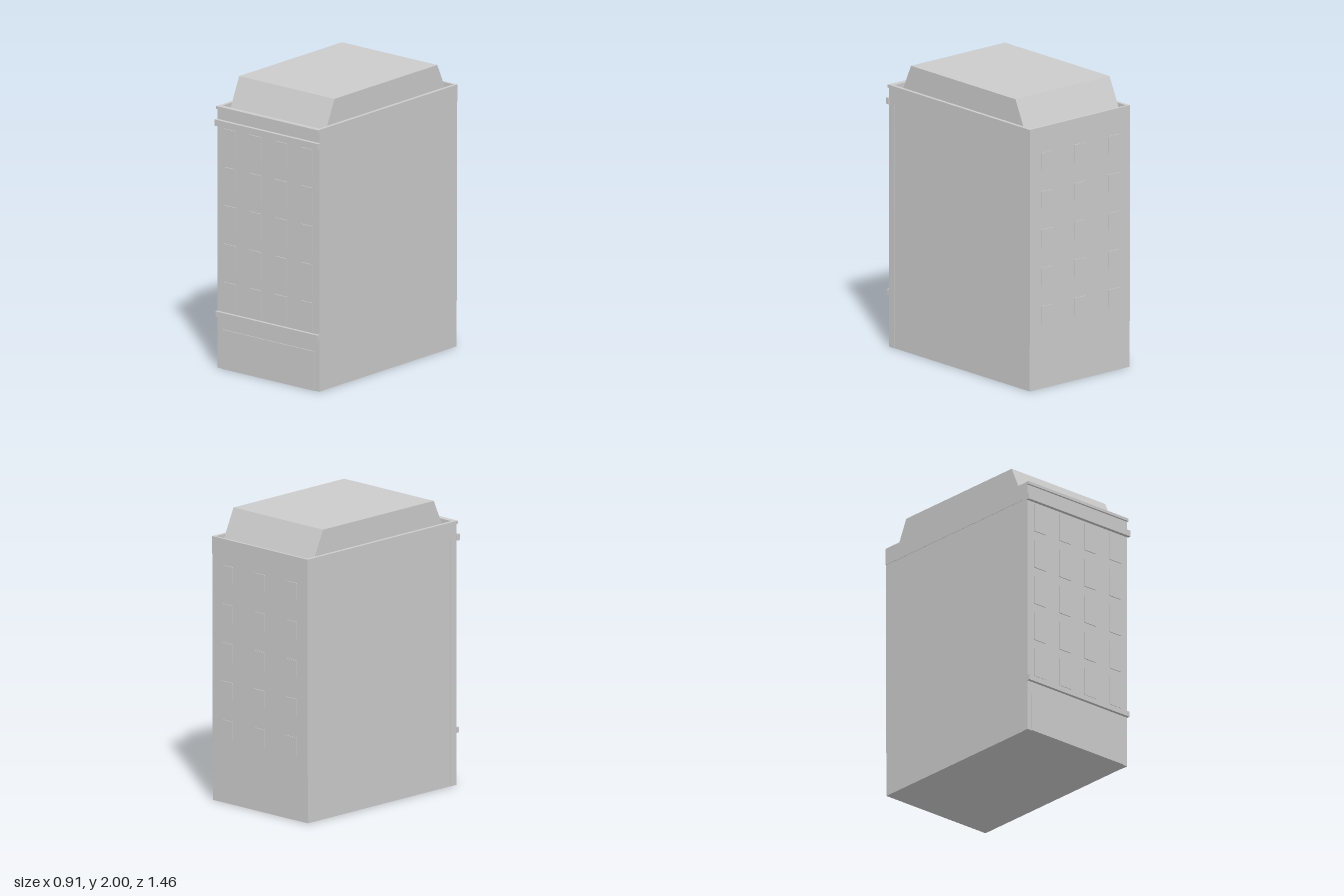
import * as THREE from 'three';

export function createModel() {
  const building = new THREE.Group();
  building.name = 'building';
  const concrete = new THREE.MeshStandardMaterial({ color: 0xcccccc });
  concrete.name = 'light grey';

  function add(name, geometry, parent = building) {
    const mesh = new THREE.Mesh(geometry, concrete);
    mesh.name = name;
    parent.add(mesh);
    return mesh;
  }

  // Box given by its limits on each axis
  function block(name, [x0, x1], [y0, y1], [z0, z1], parent) {
    const mesh = add(name, new THREE.BoxGeometry(x1 - x0, y1 - y0, z1 - z0), parent);
    mesh.position.set((x0 + x1) / 2, (y0 + y1) / 2, (z0 + z1) / 2);
    return mesh;
  }

  // Walls: slightly inset core, full-width facade slab, raised rear panel
  block('walls', [-0.445, 0.445], [0, 1.726], [-0.72, 0.66]);
  block('frontFacade', [-0.448, 0.448], [0, 1.726], [0.65, 0.705]);
  block('rearPanel', [-0.445, 0.445], [0.32, 1.71], [-0.725, -0.715]);
  block('entrancePanel', [-0.41, 0.41], [0, 0.275], [0.7, 0.711]);

  // Parapet: open ring around the flat roof
  const ring = new THREE.Shape([
    new THREE.Vector2(-0.448, -0.705), new THREE.Vector2(0.448, -0.705),
    new THREE.Vector2(0.448, 0.725), new THREE.Vector2(-0.448, 0.725),
  ]);
  ring.holes.push(new THREE.Path([
    new THREE.Vector2(-0.424, -0.679), new THREE.Vector2(-0.424, 0.708),
    new THREE.Vector2(0.424, 0.708), new THREE.Vector2(0.424, -0.679),
  ]));
  const ringGeometry = new THREE.ExtrudeGeometry(ring, { depth: 0.12, bevelEnabled: false });
  ringGeometry.rotateX(-Math.PI / 2);
  add('parapet', ringGeometry).position.y = 1.71;

  // Roof block with sloped front and rear ends
  const profile = new THREE.Shape([
    new THREE.Vector2(-0.636, 1.726), new THREE.Vector2(0.674, 1.726),
    new THREE.Vector2(0.548, 2), new THREE.Vector2(-0.515, 2),
  ]);
  const roofGeometry = new THREE.ExtrudeGeometry(profile, { depth: 0.84, bevelEnabled: false });
  roofGeometry.translate(0, 0, -0.42);
  roofGeometry.rotateY(Math.PI / 2);
  add('roofBlock', roofGeometry);

  // Front mouldings
  block('parapetLip', [-0.45, 0.45], [1.81, 1.83], [0.7, 0.718]);
  block('upperMoulding', [-0.455, 0.455], [1.695, 1.738], [0.702, 0.73]);
  block('lowerMoulding', [-0.45, 0.45], [0.36, 0.398], [0.7, 0.727]);

  // Raised window panes, five storeys on each end
  const windows = new THREE.Group();
  windows.name = 'windows';
  building.add(windows);
  for (let storey = 0; storey < 5; storey++) {
    const y = 0.268 * storey;
    for (const x of [-0.3375, -0.1125, 0.1125, 0.3375]) {
      block('frontWindow', [x - 0.05, x + 0.05], [0.41 + y, 0.61 + y], [0.702, 0.711], windows);
    }
    for (const x of [-0.3, 0, 0.3]) {
      block('rearWindow', [x - 0.05, x + 0.05], [0.455 + y, 0.577 + y], [-0.73, -0.722], windows);
    }
  }
  return building;
}
